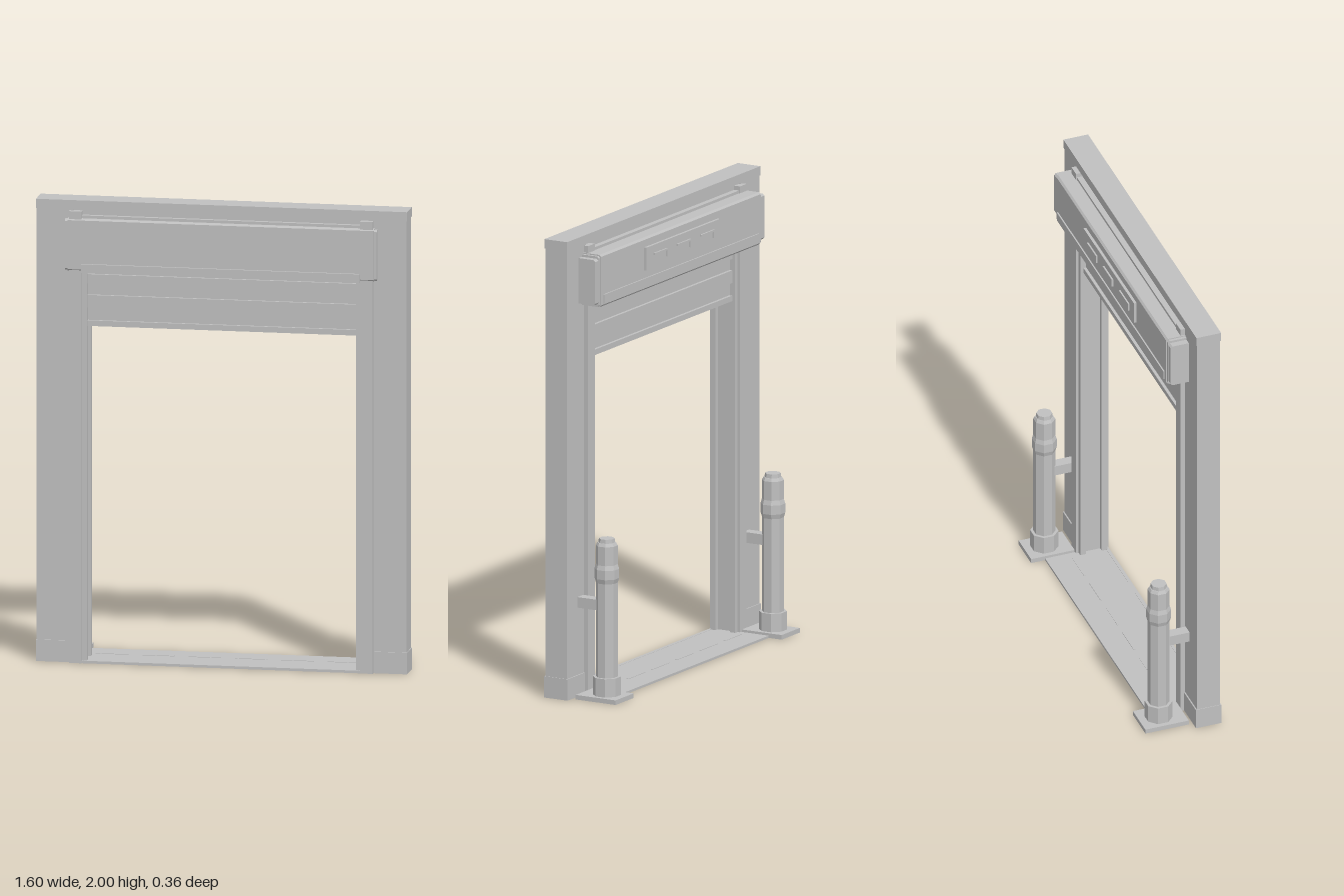
import * as THREE from 'three';

export function createModel() {
  const model = new THREE.Group();
  model.name = 'rollerDoor';
  const grey = new THREE.MeshStandardMaterial({ color: 0xc0c0c0, flatShading: true });
  grey.name = 'plain grey';

  const add = (name, geometry) => {
    const mesh = new THREE.Mesh(geometry, grey);
    mesh.name = name;
    model.add(mesh);
    return mesh;
  };
  // Box given by its limits on each axis
  const box = (name, x0, x1, y0, y1, z0, z1) =>
    add(name, new THREE.BoxGeometry(x1 - x0, y1 - y0, z1 - z0)
      .translate((x0 + x1) / 2, (y0 + y1) / 2, (z0 + z1) / 2));
  // The same box on the left and right
  const pair = (name, x0, x1, ...rest) => {
    box(name + 'Left', x0, x1, ...rest);
    box(name + 'Right', -x1, -x0, ...rest);
  };
  // Bar along x with a chamfered y-z section
  const chamferBar = (name, x0, x1, y0, y1, z0, z1, c) => {
    const s = new THREE.Shape([[z0 + c, y0], [z1 - c, y0], [z1, y0 + c], [z1, y1 - c],
      [z1 - c, y1], [z0 + c, y1], [z0, y1 - c], [z0, y0 + c]].map(p => new THREE.Vector2(...p)));
    const g = new THREE.ExtrudeGeometry(s, { depth: x1 - x0, bevelEnabled: false });
    return add(name, g.rotateY(-Math.PI / 2).translate(x1, 0, 0));
  };

  // Surround: columns, plinths, header and lintel
  pair('column', 0.64, 0.797, 0, 1.96, 0.037, 0.142);
  pair('plinth', 0.64, 0.8, 0, 0.093, 0.032, 0.147);
  box('header', -0.8, 0.8, 1.96, 2, 0.034, 0.146);
  box('lintel', -0.64, 0.64, 1.69, 1.96, 0.045, 0.135);

  // Guide tracks: outer rail with front and back lips around a slot
  pair('trackBody', 0.6, 0.655, 0, 1.955, 0.016, 0.163);
  pair('trackFrontLip', 0.58, 0.6, 0, 1.69, 0.125, 0.15);
  pair('trackBackLip', 0.58, 0.6, 0, 1.69, 0.028, 0.053);

  // Curtain with raised slats and bottom bar
  box('curtain', -0.6, 0.6, 1.456, 1.7, 0.055, 0.123);
  for (const [y0, y1] of [[1.64, 1.68], [1.535, 1.59], [1.456, 1.48]])
    box('slat', -0.588, 0.588, y0, y1, 0.042, 0.136);

  // Roller housing, end plates and caps
  chamferBar('housing', -0.66, 0.66, 1.697, 1.925, -0.05, 0.167, 0.008);
  chamferBar('housingEndLeft', 0.66, 0.672, 1.7, 1.92, -0.046, 0.162, 0.008);
  chamferBar('housingEndRight', -0.672, -0.66, 1.7, 1.92, -0.046, 0.162, 0.008);
  chamferBar('endCapLeft', 0.672, 0.7, 1.712, 1.91, -0.045, 0.05, 0.008);
  chamferBar('endCapRight', -0.7, -0.672, 1.712, 1.91, -0.045, 0.05, 0.008);
  box('housingTopLip', -0.6, 0.6, 1.925, 1.937, 0.02, 0.155);
  box('housingFrontLip', -0.6, 0.6, 1.692, 1.73, 0.16, 0.178);
  box('housingBackLip', -0.64, 0.64, 1.71, 1.75, -0.056, -0.045);

  // Service panel with three angled grips on the back
  box('servicePanel', -0.303, 0.303, 1.785, 1.885, -0.062, -0.045);
  for (const x of [-0.195, 0, 0.19]) {
    box('gripBar', x - 0.055, x + 0.055, 1.842, 1.85, -0.069, -0.06);
    box('gripEnd', x - 0.055, x - 0.047, 1.815, 1.842, -0.069, -0.06);
  }

  // Threshold with shallow plates
  box('threshold', -0.61, 0.61, 0, 0.01, -0.12, 0.145);
  box('thresholdFrontEdge', -0.6, 0.6, 0, 0.011, 0.145, 0.16);
  for (let i = 0; i < 6; i++) {
    const x = -0.5 + i * 0.2;
    box('thresholdStrip', x - 0.07, x + 0.07, 0.01, 0.012, -0.012, -0.004);
  }

  // Guard posts: foot plate, octagonal post, wall bracket
  for (const [side, s] of [['Left', 1], ['Right', -1]]) {
    const drum = (name, r0, r1, y0, y1) => {
      const g = new THREE.CylinderGeometry(r1, r0, y1 - y0, 8).rotateY(Math.PI / 8);
      add(name + side, g.translate(s * 0.687, (y0 + y1) / 2, -0.095));
    };
    drum('postFoot', 0.06, 0.06, 0.02, 0.1);
    drum('postShaft', 0.047, 0.047, 0.1, 0.672);
    drum('postShoulder', 0.047, 0.04, 0.672, 0.685);
    drum('postCap', 0.036, 0.034, 0.685, 0.702);
    drum('postBandLower', 0.047, 0.053, 0.51, 0.53);
    drum('postBand', 0.053, 0.053, 0.53, 0.57);
    drum('postBandUpper', 0.053, 0.047, 0.57, 0.59);
  }
  pair('footPlate', 0.612, 0.762, 0, 0.02, -0.183, 0.014);
  pair('postBracket', 0.662, 0.71, 0.387, 0.433, -0.07, 0.04);

  return model;
}
